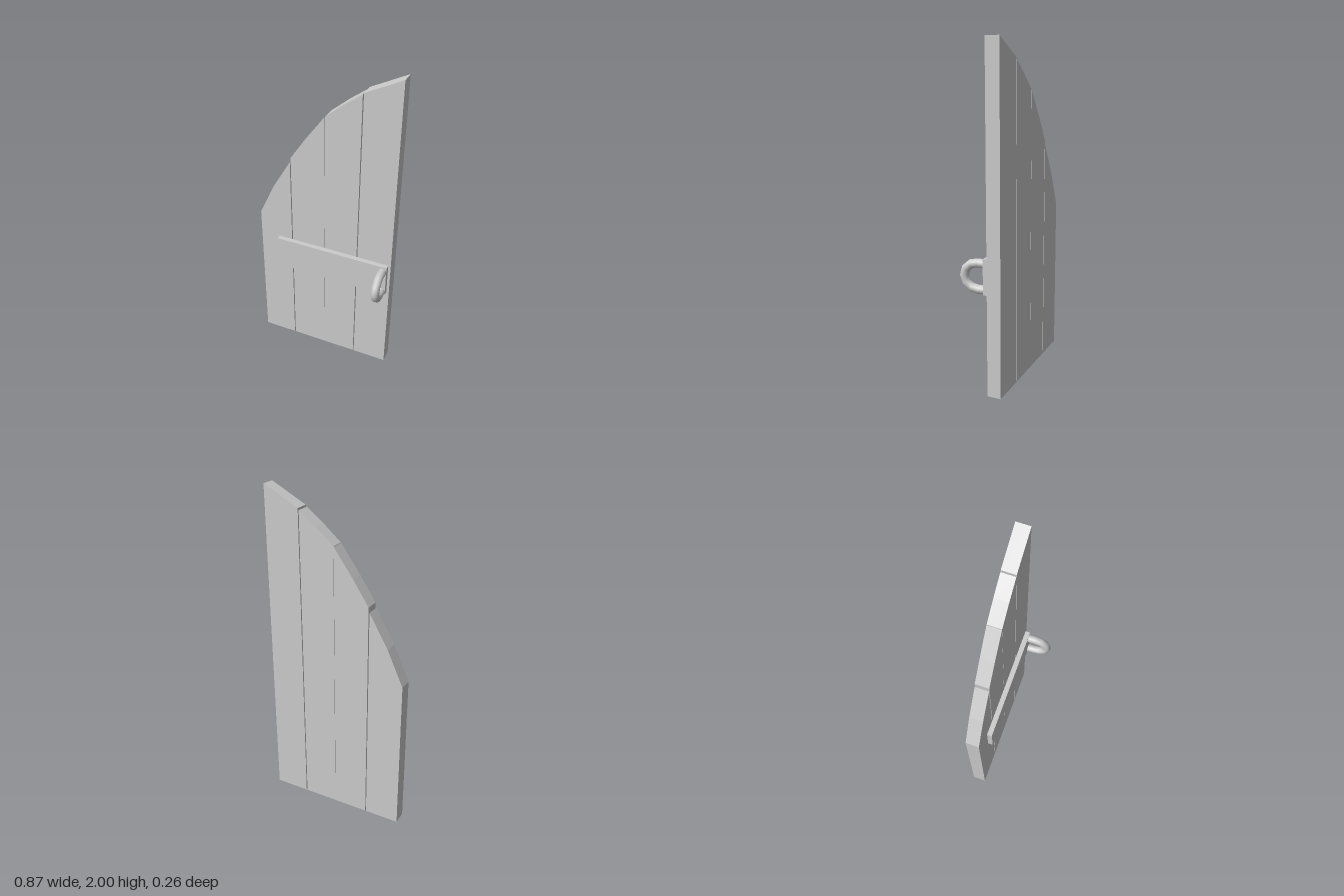
import * as THREE from 'three';

const material = new THREE.MeshStandardMaterial({ color: 0xcccccc });

function addMesh(group, name, geometry) {
  const mesh = new THREE.Mesh(geometry, material);
  mesh.name = name;
  group.add(mesh);
  return mesh;
}

export function createModel() {
  const door = new THREE.Group();
  door.name = 'archedDoorLeaf';

  // Vertical planks, each cut along its top edge to follow the arch
  const back = -0.133, thickness = 0.083;
  const plankTops = [
    [[-0.437, 0.96], [-0.34, 1.17], [-0.223, 1.37]],
    [[-0.217, 1.4], [-0.12, 1.545], [-0.001, 1.708]],
    [[0.001, 1.71], [0.11, 1.802], [0.215, 1.88]],
    [[0.221, 1.89], [0.437, 2]],
  ];
  plankTops.forEach((top, i) => {
    const left = top[0][0], right = top[top.length - 1][0];
    const outline = [[left, 0], [right, 0], ...[...top].reverse()];
    const shape = new THREE.Shape(outline.map(([x, y]) => new THREE.Vector2(x, y)));
    const geometry = new THREE.ExtrudeGeometry(shape, { depth: thickness, bevelEnabled: false });
    addMesh(door, `plank${i + 1}`, geometry.translate(0, 0, back));
  });

  // Flat strap across the front
  const strap = addMesh(door, 'strap', new THREE.BoxGeometry(0.732, 0.21, 0.032));
  strap.position.set(0.055, 0.705, -0.035);

  // U-shaped pull: two straight arms joined by a coarse half circle
  const centreY = 0.7, centreZ = 0.03, bend = 0.076;
  const path = [new THREE.Vector3(0.396, centreY + bend, -0.022)];
  const steps = 5;
  for (let i = 0; i <= steps; i++) {
    const a = Math.PI * i / steps;
    path.push(new THREE.Vector3(0.397 + 0.003 * Math.sin(a),
      centreY + bend * Math.cos(a), centreZ + bend * Math.sin(a)));
  }
  path.push(new THREE.Vector3(0.396, centreY - bend, -0.022));
  const curve = new THREE.CatmullRomCurve3(path);
  addMesh(door, 'handle', new THREE.TubeGeometry(curve, 8, 0.026, 12));

  return door;
}
